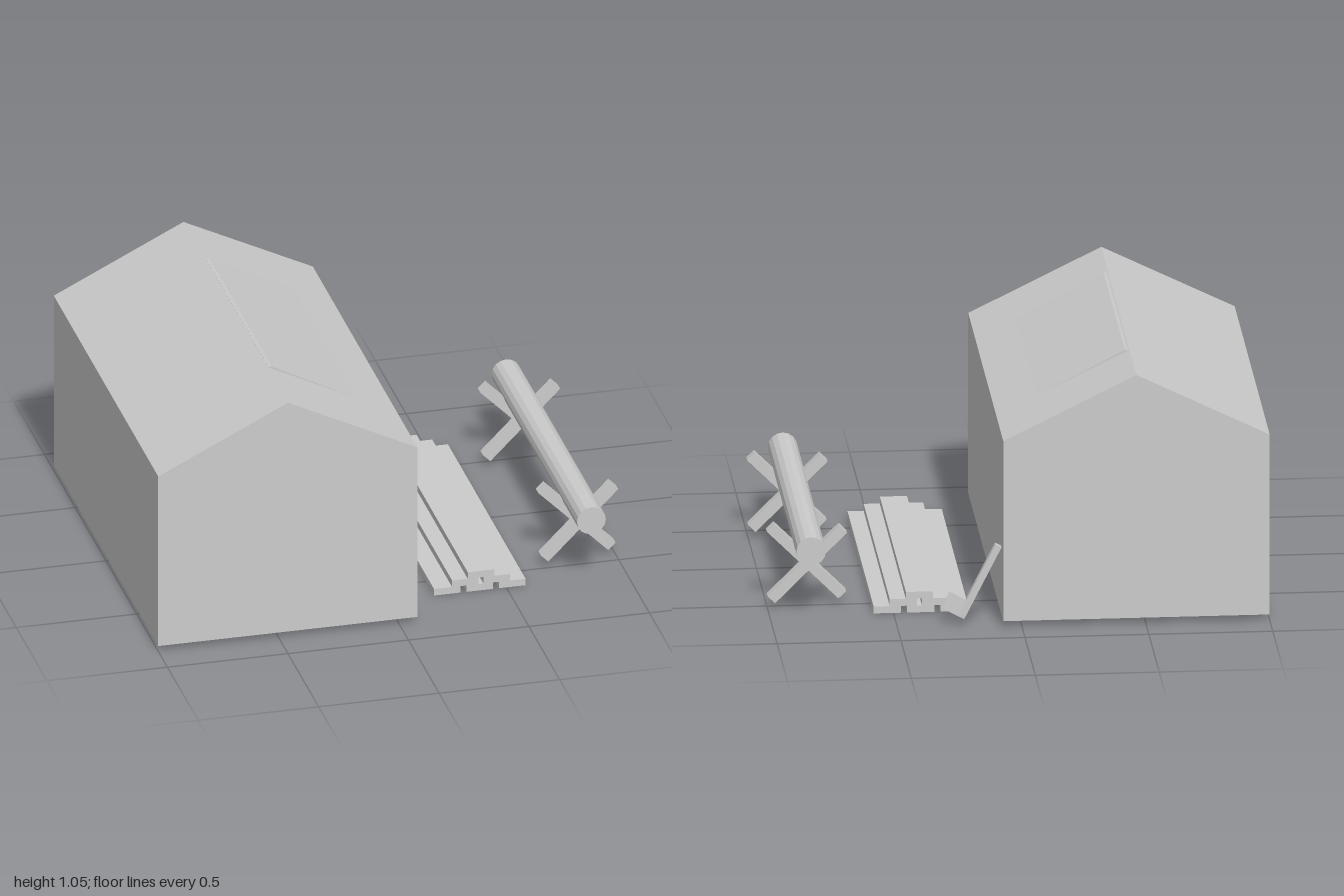
import * as THREE from 'three';

const material = new THREE.MeshStandardMaterial({ color: 0xcccccc, flatShading: true });

function add(parent, name, geometry, x = 0, y = 0, z = 0, rotZ = 0) {
  const mesh = new THREE.Mesh(geometry, material);
  mesh.name = name;
  mesh.position.set(x, y, z);
  mesh.rotation.z = rotZ;
  parent.add(mesh);
  return mesh;
}

function group(parent, name) {
  const g = new THREE.Group();
  g.name = name;
  parent.add(g);
  return g;
}

// Extrude an xy outline along z, centred on z = 0
function prism(points, depth) {
  const shape = new THREE.Shape(points.map(([x, y]) => new THREE.Vector2(x, y)));
  return new THREE.ExtrudeGeometry(shape, { depth, bevelEnabled: false }).translate(0, 0, -depth / 2);
}

export function createModel() {
  const model = new THREE.Group();
  model.name = 'woodYard';

  // Gabled shed
  add(model, 'shed', prism([
    [-1, 0.025], [0.075, 0.025], [0.075, 0.785], [-0.462, 1.05], [-1, 0.785],
  ], 1.7));

  // Panel tilted slightly out of the right roof slope
  add(model, 'roofPanel', prism([
    [-0.455, 1.02], [-0.1, 0.84], [-0.07, 0.856], [-0.443, 1.051], [-0.455, 1.047],
  ], 1.03));

  // Plank stack: rows of three, two and one
  const planks = group(model, 'plankStack');
  const rows = [[0.255, 0.39, 0.525], [0.33, 0.46], [0.395]];
  rows.forEach((row, i) => {
    for (const x of row) add(planks, 'plank', new THREE.BoxGeometry(0.11, 0.029, 1.265), x, 0.0165 + i * 0.029, 0);
  });

  // Log resting on two crossed trestles
  add(model, 'log', new THREE.CylinderGeometry(0.06, 0.06, 1.39, 16).rotateX(Math.PI / 2), 0.837, 0.29, 0);
  for (const z of [0.449, -0.495]) {
    const trestle = group(model, 'trestle');
    for (const side of [1, -1]) {
      add(trestle, 'trestleBeam', new THREE.BoxGeometry(0.41, 0.043, 0.043), 0.84, 0.185, z + side * 0.0215, side * Math.PI / 4);
    }
  }

  // Axe leaning on the shed wall
  const axe = group(model, 'axe');
  axe.position.set(0.167, 0.183, -0.803);
  axe.rotation.z = 0.467;
  add(axe, 'axeHandle', new THREE.BoxGeometry(0.028, 0.334, 0.028));
  // Head tapers to a cutting edge
  const head = new THREE.BoxGeometry(0.076, 0.075, 0.028);
  const pos = head.attributes.position;
  for (let i = 0; i < pos.count; i++) {
    if (pos.getX(i) > 0) pos.setZ(i, pos.getZ(i) * 0.06);
  }
  head.computeVertexNormals();
  add(axe, 'axeHead', head, 0.052, -0.13, 0);

  return model;
}
